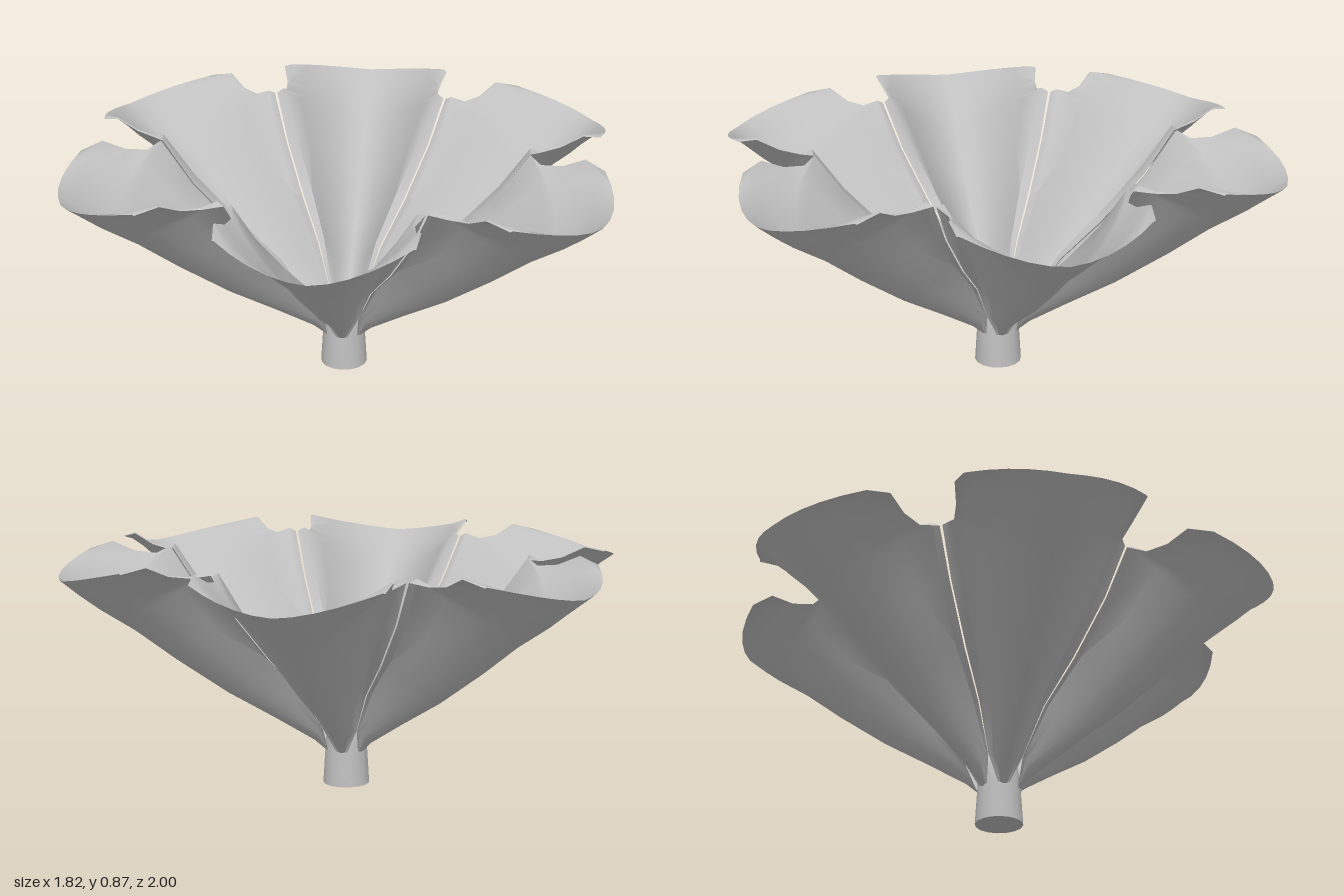
import * as THREE from 'three';
import { toCreasedNormals } from 'three/addons/utils/BufferGeometryUtils.js';

// Cross-sections of one petal, base to rim:
// [midrib y, midrib z, edge x, edge y, edge z, curled lip width]
const ROWS = [
  [0.12, 0.07, 0.02, 0.13, 0.075, 0.004],
  [0.165, 0.12, 0.06, 0.22, 0.105, 0.008],
  [0.255, 0.26, 0.113, 0.38, 0.2, 0.02],
  [0.36, 0.43, 0.187, 0.52, 0.33, 0.033],
  [0.49, 0.61, 0.265, 0.69, 0.465, 0.035],
  [0.60, 0.75, 0.315, 0.84, 0.555, 0.025],
  [0.64, 0.81, 0.287, 0.82, 0.615, 0.008],
  [0.68, 0.87, 0.295, 0.83, 0.69, 0.006],
  [0.73, 0.935, 0.315, 0.865, 0.765, 0.006],
  [0.785, 1.0, 0.305, 0.845, 0.845, 0.006],
];
const STEPS = [0, 0.2, 0.4, 0.6, 0.8, 1];

// Points of half a section: trough from the midrib up to the ridge, then the lip
function halfSection([cy, cz, ex, ey, ez, lip]) {
  const rx = ex - 0.866 * lip, rz = ez + 0.5 * lip;
  const points = STEPS.map((u) => [
    rx * u,
    cy + (ey - cy) * Math.pow(u, 1.5),
    cz + (rz - cz) * u * u,
  ]);
  points.push([ex, ey - 0.5 * lip, ez]);
  return points;
}

function petalGeometry() {
  const positions = [], index = [];
  const columns = STEPS.length * 2 + 1;
  ROWS.forEach((row, j) => {
    const half = halfSection(row);
    const mirrored = half.slice(1).reverse().map(([x, y, z]) => [-x, y, z]);
    [...mirrored, ...half].forEach((p) => positions.push(...p));
    if (j === 0) return;
    for (let i = 0; i < columns - 1; i++) {
      const a = (j - 1) * columns + i, b = a + columns;
      // diagonals mirror about the midrib
      if (i < STEPS.length) index.push(a, b, b + 1, a, b + 1, a + 1);
      else index.push(a, b, a + 1, a + 1, b, b + 1);
    }
  });
  const geometry = new THREE.BufferGeometry();
  geometry.setAttribute('position', new THREE.Float32BufferAttribute(positions, 3));
  geometry.setIndex(index);
  return toCreasedNormals(geometry, 1.0);
}

export function createModel() {
  const flower = new THREE.Group();
  flower.name = 'flower';
  const grey = new THREE.MeshStandardMaterial({ color: 0xc0c0c0, side: THREE.DoubleSide });
  grey.name = 'light grey';

  // Six petals around the stem
  const geometry = petalGeometry();
  for (let i = 0; i < 6; i++) {
    const petal = new THREE.Mesh(geometry, grey);
    petal.name = 'petal' + (i + 1);
    petal.rotation.y = (i * Math.PI) / 3;
    flower.add(petal);
  }

  // Short tapering stem with a rounded top
  const profile = [
    [0, 0], [0.084, 0], [0.079, 0.08], [0.074, 0.16], [0.068, 0.205],
    [0.052, 0.24], [0.028, 0.26], [0, 0.268],
  ].map(([r, y]) => new THREE.Vector2(r, y));
  const stem = new THREE.Mesh(toCreasedNormals(new THREE.LatheGeometry(profile, 16), 0.9), grey);
  stem.name = 'stem';
  flower.add(stem);

  return flower;
}
